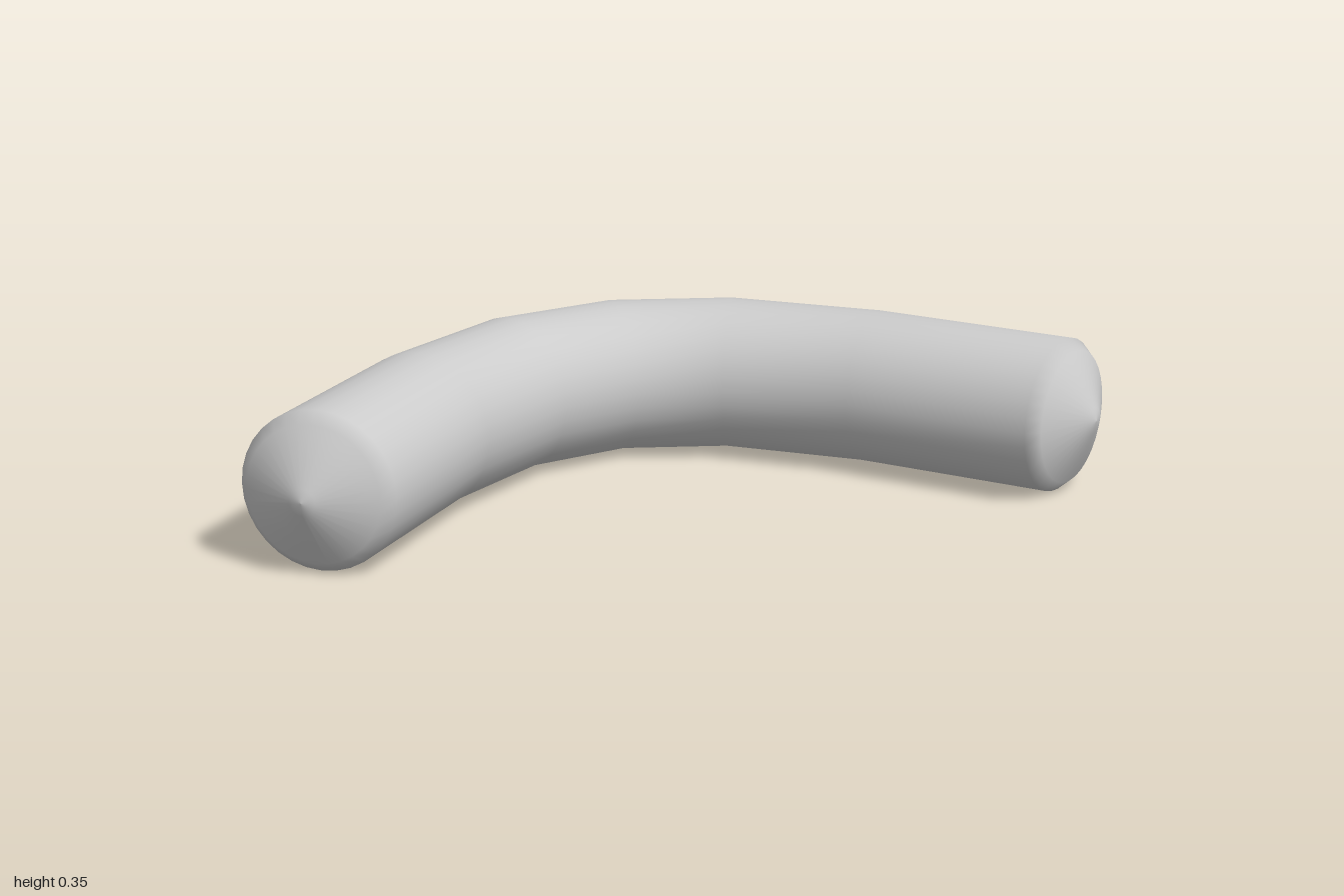
import * as THREE from 'three';

const R = 0.177;      // tube radius, also the height of its axis
const SIDES = 32;

export function createModel() {
  const group = new THREE.Group();
  group.name = 'curvedBar';

  // Cross-sections of the +x half: centre x, centre z, turn in degrees, radius
  const half = [
    [0.267, -0.228, 25.8, R],
    [0.545, -0.012, 43, R],
    [0.857, 0.343, 53, R],
  ];
  // Blunt cap: distance beyond the last section, radius
  const turn = THREE.MathUtils.degToRad(53);
  for (const [d, r] of [[0.029, 0.152], [0.084, 0.03], [0.09, 0]]) {
    half.push([0.857 + d * Math.cos(turn), 0.343 + d * Math.sin(turn), 53, r]);
  }
  const mirrored = half.map(([x, z, t, r]) => [-x, z, -t, r]).reverse();
  const sections = [...mirrored, [0, -0.295, 0, R], ...half];

  // Loft the circular sections into one smooth skin
  const positions = [];
  const indices = [];
  sections.forEach(([x, z, t, r], i) => {
    const phi = THREE.MathUtils.degToRad(t);
    for (let j = 0; j < SIDES; j++) {
      const a = (j / SIDES) * Math.PI * 2;
      const out = r * Math.cos(a);
      positions.push(x + out * Math.sin(phi), R + r * Math.sin(a), z - out * Math.cos(phi));
      if (i < sections.length - 1) {
        const k = (j + 1) % SIDES;
        const p = i * SIDES, q = p + SIDES;
        indices.push(p + j, p + k, q + j, p + k, q + k, q + j);
      }
    }
  });
  const geometry = new THREE.BufferGeometry();
  geometry.setAttribute('position', new THREE.Float32BufferAttribute(positions, 3));
  geometry.setIndex(indices);
  geometry.computeVertexNormals();

  const bar = new THREE.Mesh(geometry, new THREE.MeshStandardMaterial({ color: 0xcccccc }));
  bar.name = 'bentTube';
  group.add(bar);
  return group;
}
